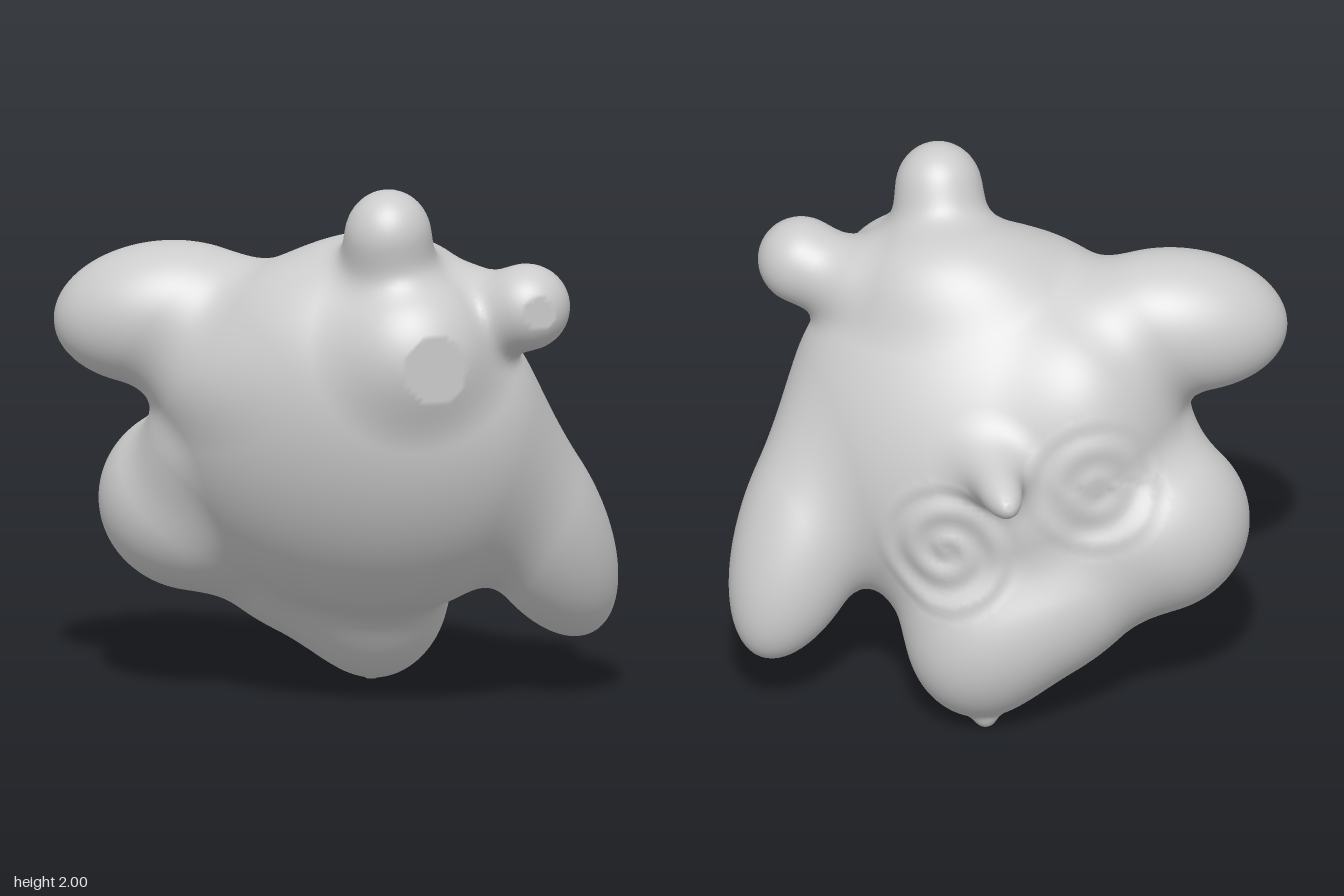
import * as THREE from 'three';

const V = (x, y, z) => new THREE.Vector3(x, y, z);

// Each part is a spheroid: centre, axis, half-length along the axis, radius, blend width
const part = (name, centre, axis, l, r, k) => ({ name, c: V(...centre), axis: V(...axis).normalize(), l, r, k });

const PARTS = [
  part('body', [0.02, 1.02, 0.06], [0.55, 0.4, -0.73], 0.51, 0.74, 0.1),
  part('muzzle', [0.11, 1.38, 0.41], [0, 0, 1], 0.345, 0.33, 0.08),
  part('brow', [0.08, 1.49, 0.18], [-0.75, 0, -0.5], 0.4, 0.3, 0.08),
  part('leftBrow', [0.36, 1.51, 0.4], [1, 0, 0.5], 0.18, 0.17, 0.08),
  part('back', [-0.2, 1.12, -0.21], [0, 1, 0], 0.44, 0.36, 0.08),
  part('flank', [-0.33, 1.24, 0.06], [0.7, 0, 0.7], 0.45, 0.27, 0.08),
  part('hip', [-0.49, 0.94, -0.19], [0, 1, 0], 0.24, 0.21, 0.08),
  part('rump', [-0.05, 0.49, -0.35], [-0.84, 0.52, -0.1], 0.53, 0.29, 0.1),
  part('leftArm', [0.65, 0.71, 0.22], [0.43, -0.75, -0.2], 0.56, 0.255, 0.12),
  part('rightArm', [-0.61, 1.45, -0.25], [-0.85, -0.1, -0.36], 0.41, 0.265, 0.12),
  part('rightFoot', [-0.43, 0.72, -0.39], [1, 0, 0.3], 0.37, 0.345, 0.1),
  part('leftFoot', [0.19, 0.42, -0.23], [0.1, -0.95, -0.25], 0.4, 0.28, 0.12),
  part('leftToe', [0.225, 0.04, -0.36], [0.1, -1, -0.1], 0.04, 0.04, 0.04),
  part('rightEye', [0.03, 1.825, 0.42], [0, 1, 0.2], 0.175, 0.16, 0.14),
  part('leftEye', [0.51, 1.56, 0.58], [0.5, 0.3, 0.8], 0.165, 0.16, 0.1),
  part('tail', [0.24, 1.1, -0.47], [0.2, -0.08, -0.95], 0.225, 0.085, 0.14),
];

// Approximate signed distance to one spheroid
function distance(s, p) {
  const x = p.x - s.c.x, y = p.y - s.c.y, z = p.z - s.c.z;
  const t = (x * s.axis.x + y * s.axis.y + z * s.axis.z) ** 2;
  const q = Math.max(0, x * x + y * y + z * z - t);
  const k0 = Math.sqrt(t / s.l ** 2 + q / s.r ** 2);
  const k1 = Math.sqrt(t / s.l ** 4 + q / s.r ** 4);
  return k0 * (k0 - 1) / Math.max(k1, 1e-6);
}

// Smooth union of all parts
function union(p) {
  let f = 10;
  for (const s of PARTS) {
    const d = distance(s, p), h = Math.max(0, s.k - Math.abs(f - d)) / s.k;
    f = Math.min(f, d) - h * h * s.k / 4;
  }
  return f;
}

function gradient(f, p) {
  const e = 0.002;
  return V(f(V(p.x + e, p.y, p.z)) - f(V(p.x - e, p.y, p.z)), f(V(p.x, p.y + e, p.z)) - f(V(p.x, p.y - e, p.z)),
    f(V(p.x, p.y, p.z + e)) - f(V(p.x, p.y, p.z - e))).divideScalar(2 * e);
}

// Moves a point onto the surface where f is zero
function settle(f, p) {
  for (let i = 0; i < 4; i++) {
    const n = gradient(f, p);
    p.addScaledVector(n, -f(p) / Math.max(0.4, n.lengthSq()));
  }
  return p;
}

// Shallow spiral grooves on the back
const SWIRLS = [
  { c: settle(union, V(0.42, 0.78, -0.4)), depth: 0.007 },
  { c: settle(union, V(-0.12, 1.02, -0.6)), depth: 0.004 },
];
function ripple(p) {
  let h = 0;
  for (const { c, depth } of SWIRLS) {
    const dist = p.distanceTo(c);
    if (dist > 0.29) continue;
    const angle = Math.atan2(p.y - c.y, p.z - c.z);
    h += depth * Math.cos(dist * 48 - angle) * Math.min(1, (0.29 - dist) / 0.07, dist / 0.06);
  }
  return h;
}

// Finished skin, cut off flat at the front
const FRONT = 0.73;
const skin = p => Math.max(union(p) - ripple(p), p.z - FRONT);

// Turns the skin into quads on a regular grid, sorted by the part they belong to
function polygonize() {
  const step = 0.021, min = V(-1.1, -0.07, -0.83), size = [105, 103, 77];
  const stride = [1, size[0], size[0] * size[1]];
  const point = (i, o) => V(i % size[0] + o, Math.floor(i / stride[1]) % size[1] + o, Math.floor(i / stride[2]) + o)
    .multiplyScalar(step).add(min);
  const values = new Float32Array(stride[2] * size[2]);
  for (let i = 0; i < values.length; i++) values[i] = skin(point(i, 0));

  // One corner per grid cell, settled on the skin
  const corners = new Map();
  const corner = cell => {
    if (!corners.has(cell)) {
      const p = settle(skin, point(cell, 0.5));
      const near = PARTS.map(s => distance(s, p));
      corners.set(cell, { p, n: gradient(skin, p).normalize(), owner: near.indexOf(Math.min(...near)) });
    }
    return corners.get(cell);
  };

  const buckets = PARTS.map(() => ({ position: [], normal: [] }));
  for (let i = stride[2]; i < values.length - stride[2]; i++) {
    for (let a = 0; a < 3; a++) {
      const inside = values[i] < 0;
      if (inside === values[i + stride[a]] < 0) continue;
      const b = stride[(a + 1) % 3], c = stride[(a + 2) % 3];
      const quad = [i, i - b, i - b - c, i - c].map(corner);
      if (!inside) quad.reverse();
      const { position, normal } = buckets[quad[0].owner];
      for (const j of [0, 1, 2, 0, 2, 3]) {
        position.push(...quad[j].p.toArray());
        normal.push(...quad[j].n.toArray());
      }
    }
  }
  return buckets;
}

export function createModel() {
  const group = new THREE.Group();
  const material = new THREE.MeshStandardMaterial({ color: 0xcccccc });
  polygonize().forEach(({ position, normal }, i) => {
    if (!position.length) return;
    const geometry = new THREE.BufferGeometry();
    geometry.setAttribute('position', new THREE.Float32BufferAttribute(position, 3));
    geometry.setAttribute('normal', new THREE.Float32BufferAttribute(normal, 3));
    const mesh = new THREE.Mesh(geometry, material);
    mesh.name = PARTS[i].name;
    group.add(mesh);
  });
  return group;
}
